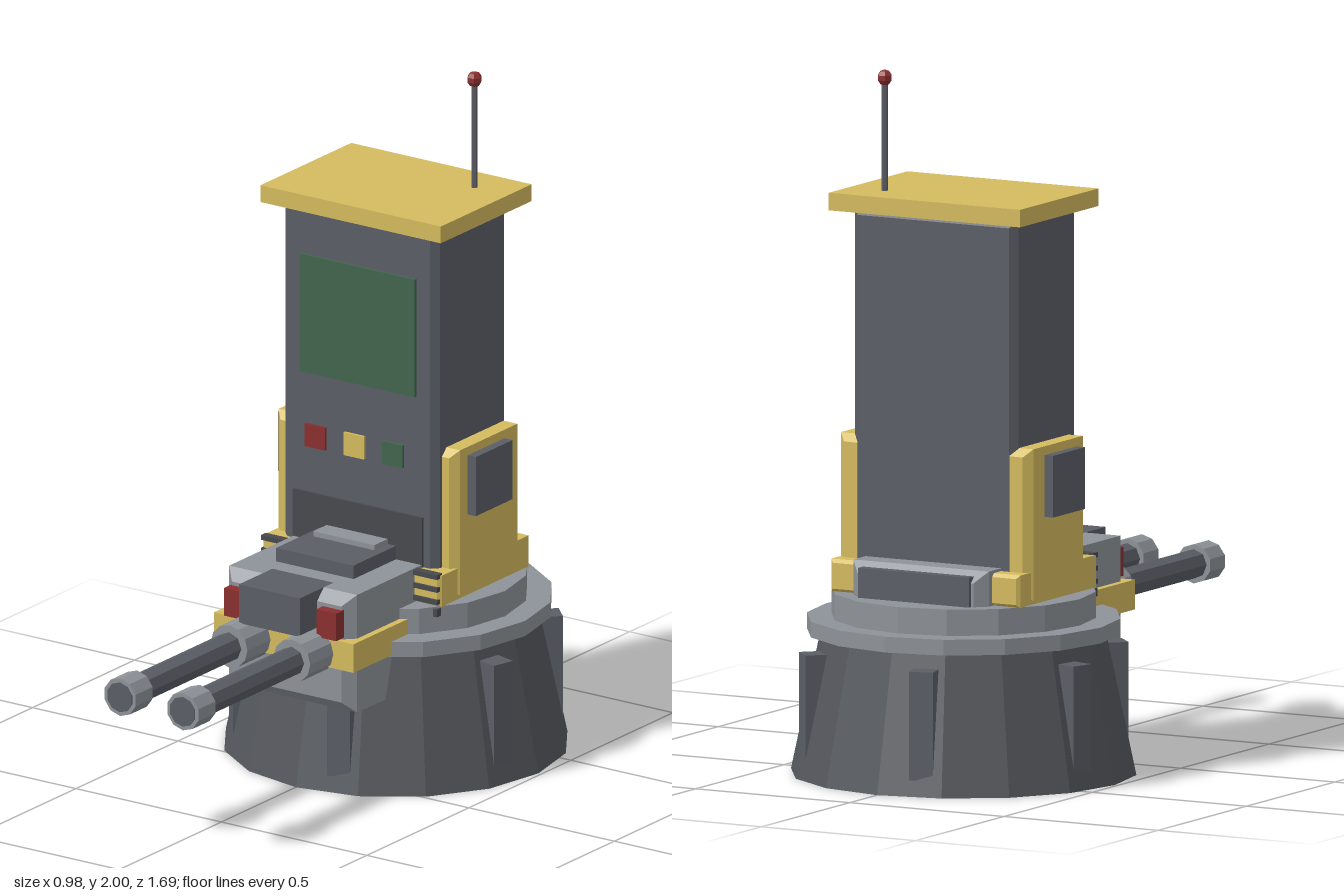
import * as THREE from 'three';

const mat = (color) => new THREE.MeshStandardMaterial({ color, flatShading: true });

export function createModel() {
  const root = new THREE.Group();
  root.name = 'turretTower';
  const dark = mat(0x5b5e66), base = mat(0x54575c), light = mat(0x8e9399), charcoal = mat(0x48494d);
  const yellow = mat(0xd4bb5f), red = mat(0x8b2f2f), green = mat(0x41654d);

  const add = (name, geo, material, x = 0, y = 0, z = 0, parent = root) => {
    const m = new THREE.Mesh(geo, material);
    m.name = name;
    m.position.set(x, y, z);
    parent.add(m);
    return m;
  };
  // Box from its limits, with an optional chamfer on every edge
  const box = (name, material, [x0, x1], [y0, y1], [z0, z1], c = 0) => {
    const w = x1 - x0, h = y1 - y0, d = z1 - z0;
    let geo;
    if (c) {
      const a = w / 2 - c, b = h / 2 - c;
      const shape = new THREE.Shape([[-a, -b], [a, -b], [a, b], [-a, b]].map(p => new THREE.Vector2(...p)));
      geo = new THREE.ExtrudeGeometry(shape, {
        depth: d - 2 * c, bevelEnabled: true, bevelThickness: c, bevelSize: c, bevelSegments: 1,
      });
      geo.translate(0, 0, -d / 2 + c);
    } else geo = new THREE.BoxGeometry(w, h, d);
    return add(name, geo, material, (x0 + x1) / 2, (y0 + y1) / 2, (z0 + z1) / 2);
  };
  // Box limits mirrored for the right-hand side
  const span = (s, a, b) => (s > 0 ? [a, b] : [-b, -a]);
  const tube = (name, material, rTop, rBottom, y0, y1, x, z, sides) =>
    add(name, new THREE.CylinderGeometry(rTop, rBottom, y1 - y0, sides), material, x, (y0 + y1) / 2, z);

  // Round pedestal with turntable
  const cz = -0.355;
  tube('pedestal', base, 0.405, 0.49, 0, 0.4, 0, cz, 16);
  tube('flange', light, 0.445, 0.445, 0.4, 0.445, 0, cz, 16);
  tube('turntable', light, 0.375, 0.375, 0.445, 0.52, 0, cz, 16);
  for (let i = 0; i < 6; i++) {
    const pivot = new THREE.Group();
    pivot.name = 'pedestalRib';
    pivot.position.set(0, 0.2, cz);
    pivot.rotation.y = Math.PI / 12 + i * Math.PI / 3;
    add('rib', new THREE.BoxGeometry(0.07, 0.31, 0.11), dark, 0, 0, 0.416, pivot);
    root.add(pivot);
  }

  // Gun housing
  box('gunHousing', light, [-0.22, 0.22], [0.27, 0.62], [-0.628, 0.18], 0.032);
  box('bumper', yellow, [-0.24, 0.24], [0.405, 0.49], [-0.075, 0.195]);
  box('nose', dark, [-0.105, 0.105], [0.505, 0.62], [0.1, 0.265]);
  box('hatch', dark, [-0.133, 0.133], [0.61, 0.66], [-0.17, 0.042]);
  box('hatchStep', light, [-0.105, 0.105], [0.655, 0.675], [-0.17, -0.1]);
  box('rearBox', dark, [-0.18, 0.18], [0.46, 0.605], [-0.64, -0.55]);

  // Cabinet with screen, buttons and roof
  box('cabinet', dark, [-0.265, 0.265], [0.55, 1.61], [-0.527, -0.173], 0.02);
  box('roof', yellow, [-0.31, 0.31], [1.605, 1.655], [-0.578, -0.133]);
  box('screen', green, [-0.198, 0.198], [1.115, 1.465], [-0.19, -0.165]);
  box('lowerPanel', charcoal, [-0.222, 0.222], [0.6, 0.76], [-0.19, -0.166]);
  [red, yellow, green].forEach((m, i) => {
    const x = -0.145 + i * 0.133;
    box('button', m, [x - 0.035, x + 0.035], [0.895, 0.963], [-0.19, -0.165]);
  });

  // Antenna
  tube('antennaRod', dark, 0.009, 0.009, 1.65, 1.97, 0.193, -0.465, 6);
  add('antennaTip', new THREE.SphereGeometry(0.023, 6, 5), red, 0.193, 1.977, -0.465);

  for (const s of [1, -1]) {
    // Side armour, its foot, pad and vent bars
    box('sideArmour', yellow, span(s, 0.225, 0.312), [0.53, 0.963], [-0.527, -0.203], 0.022);
    box('armourFoot', yellow, span(s, 0.2, 0.307), [0.518, 0.612], [-0.578, -0.133], 0.01);
    box('armourPad', dark, span(s, 0.3, 0.34), [0.762, 0.938], [-0.442, -0.262]);
    for (const y of [0.535, 0.572, 0.61]) {
      box('ventBar', charcoal, span(s, 0.2, 0.303), [y - 0.007, y + 0.007], [-0.15, -0.125]);
    }
    box('ventBolt', charcoal, span(s, 0.282, 0.302), [0.492, 0.515], [-0.15, -0.125]);
    box('lamp', red, span(s, 0.125, 0.193), [0.495, 0.577], [0.13, 0.213]);

    // Gun
    const gun = new THREE.Group();
    gun.name = 'gun';
    gun.position.set(s * 0.108, 0.447, 0);
    root.add(gun);
    const ring = (name, material, r, z0, z1, sides) => {
      const geo = new THREE.CylinderGeometry(r, r, z1 - z0, sides).rotateX(Math.PI / 2);
      add(name, geo, material, 0, 0, (z0 + z1) / 2, gun);
    };
    ring('collar', light, 0.063, 0.15, 0.308, 12);
    ring('barrel', dark, 0.042, 0.3, 0.78, 8);
    ring('muzzle', light, 0.056, 0.758, 0.842, 10);
    ring('bore', dark, 0.044, 0.8, 0.845, 10);
  }
  return root;
}
